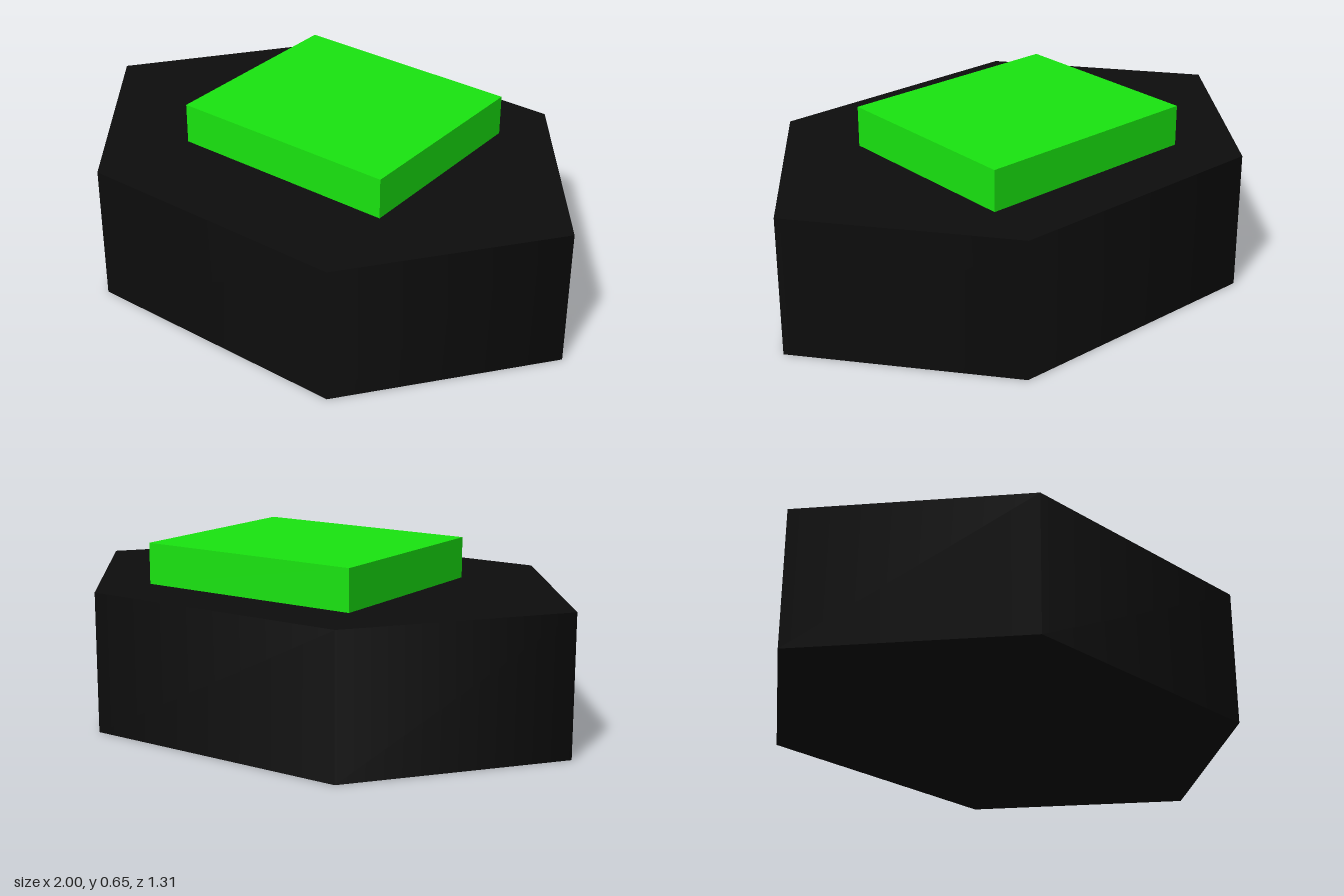
import * as THREE from 'three';

export function createModel() {
  const model = new THREE.Group();

  // Six-sided base, flattened in depth, with points at left and right
  const baseGeometry = new THREE.CylinderGeometry(1, 1, 0.5, 6, 1, false, Math.PI / 2);
  baseGeometry.scale(1, 1, 0.757);
  const base = new THREE.Mesh(baseGeometry, new THREE.MeshStandardMaterial({ color: 0x0d0d0d }));
  base.name = 'hexagonalBase';
  base.position.y = 0.25;
  model.add(base);

  // Flat block on top, slightly off centre
  const block = new THREE.Mesh(
    new THREE.BoxGeometry(0.845, 0.147, 0.732),
    new THREE.MeshStandardMaterial({ color: 0x19e510 })
  );
  block.name = 'topBlock';
  block.position.set(0.022, 0.5735, -0.064);
  model.add(block);

  return model;
}
